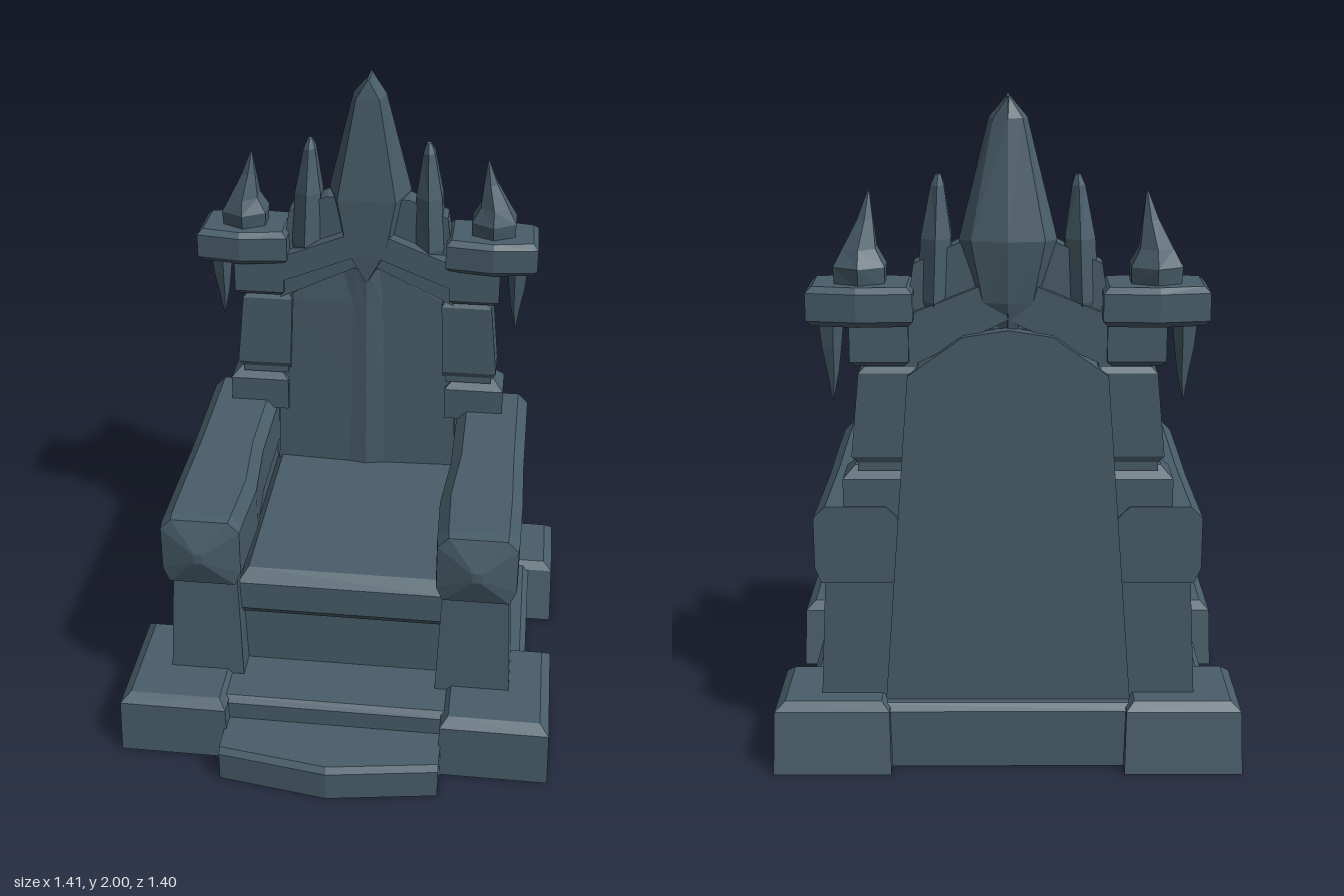
import * as THREE from 'three';

const stone = new THREE.MeshStandardMaterial({ color: 0x485d69 });
stone.name = 'slate stone';
stone.flatShading = true;

// Skin a list of equal-length rings and cap both ends; faces always point outward.
function loft(rings) {
  const tris = [];
  const n = rings[0].length;
  for (let i = 0; i < rings.length - 1; i++) {
    for (let j = 0; j < n; j++) {
      const k = (j + 1) % n;
      const a = rings[i][j], b = rings[i][k], c = rings[i + 1][k], d = rings[i + 1][j];
      tris.push([a, b, c], [a, c, d]);
    }
  }
  const first = rings[0], last = rings[rings.length - 1];
  for (let j = 1; j < n - 1; j++) {
    tris.push([first[0], first[j + 1], first[j]], [last[0], last[j], last[j + 1]]);
  }
  const o = new THREE.Vector3(...first[0]);
  let volume = 0;
  for (const t of tris) {
    const [a, b, c] = t.map((p) => new THREE.Vector3(...p).sub(o));
    volume += a.dot(b.cross(c));
  }
  const pos = [];
  for (const [a, b, c] of tris) pos.push(...a, ...(volume < 0 ? [...c, ...b] : [...b, ...c]));
  const g = new THREE.BufferGeometry();
  g.setAttribute('position', new THREE.Float32BufferAttribute(pos, 3));
  g.computeVertexNormals();
  return g;
}

const rect = (x0, x1, y, z0, z1) => [[x0, y, z0], [x1, y, z0], [x1, y, z1], [x0, y, z1]];

// Stone block with chamfered top (c) and bottom (b); t narrows the top on all sides.
function block(x0, x1, y0, y1, z0, z1, { c = 0.02, b = 0, t = 0 } = {}) {
  const rings = [];
  if (b) rings.push(rect(x0 + b, x1 - b, y0, z0 + b, z1 - b));
  rings.push(rect(x0, x1, y0 + b, z0, z1));
  rings.push(rect(x0 + t, x1 - t, y1 - c, z0 + t, z1 - t));
  if (c) rings.push(rect(x0 + t + c, x1 - t - c, y1, z0 + t + c, z1 - t - c));
  return loft(rings);
}

// Extrude an x/y outline between two depths.
const plate = (outline, z0, z1) => loft([z0, z1].map((z) => outline.map(([x, y]) => [x, y, z])));

// Crystal or flame: rows of [y, centre x, half width, centre z, half depth].
function shard(rows, sides = 6) {
  return loft(rows.map(([y, cx, rx, cz, rz]) =>
    Array.from({ length: sides }, (_, i) => {
      const a = ((i + 0.5) / sides) * Math.PI * 2;
      return [cx + Math.cos(a) * rx * 1.1, y, cz + Math.sin(a) * rz];
    })));
}

export function createModel() {
  const model = new THREE.Group();
  model.name = 'stoneThrone';
  const add = (name, geometry, parent = model) => {
    const m = new THREE.Mesh(geometry, stone);
    m.name = name;
    parent.add(m);
  };
  // Mirror geometry across x while keeping faces outward.
  const mirrored = (g) => {
    const p = g.clone().scale(-1, 1, 1);
    const a = p.attributes.position.array;
    for (let i = 0; i < a.length; i += 9) {
      for (let k = 0; k < 3; k++) [a[i + 3 + k], a[i + 6 + k]] = [a[i + 6 + k], a[i + 3 + k]];
    }
    p.computeVertexNormals();
    return p;
  };
  const pair = (name, g) => {
    add(name + 'Left', g);
    add(name + 'Right', mirrored(g));
  };

  // Plinth, corner stones and pointed front step
  add('plinth', block(-0.615, 0.615, 0, 0.2, -0.645, 0.485, { c: 0.02 }));
  pair('frontCornerStone', loft([
    rect(0.345, 0.705, 0, 0.08, 0.545), rect(0.35, 0.7, 0.19, 0.11, 0.54),
    rect(0.375, 0.67, 0.215, 0.14, 0.505)]));
  pair('backCornerStone', loft([
    rect(0.35, 0.705, 0, -0.7, -0.33), rect(0.355, 0.7, 0.19, -0.67, -0.375),
    rect(0.38, 0.67, 0.215, -0.645, -0.4)]));
  const stepRing = (y, d) => [[-0.355, y, 0.4], [0.355, y, 0.4], [0.355, y, 0.645 - d], [0, y, 0.7 - d], [-0.355, y, 0.645 - d]];
  add('frontStep', loft([stepRing(0, 0), stepRing(0.1, 0), stepRing(0.12, 0.015)]));

  // Seat and the recessed wall beneath it
  add('seatWall', block(-0.34, 0.34, 0.18, 0.45, -0.5, 0.26, { c: 0 }));
  add('seat', loft([
    rect(-0.325, 0.325, 0.405, -0.5, 0.275), rect(-0.34, 0.34, 0.435, -0.5, 0.3),
    rect(-0.34, 0.34, 0.535, -0.5, 0.3), rect(-0.31, 0.31, 0.57, -0.5, 0.255)]));

  // Arm supports: front and back piers with a recessed panel between
  pair('frontPier', loft([rect(0.32, 0.565, 0.2, 0.11, 0.355), rect(0.335, 0.545, 0.59, 0.1, 0.33)]));
  pair('backPier', loft([rect(0.32, 0.565, 0.2, -0.585, -0.39), rect(0.335, 0.545, 0.59, -0.58, -0.38)]));
  pair('sidePanel', loft([rect(0.32, 0.54, 0.2, -0.42, 0.13), rect(0.335, 0.525, 0.59, -0.42, 0.13)]));

  // Armrests with a faceted front boss
  const armRing = (z, inner, outer, top) => [
    [inner + 0.02, 0.573, z], [outer - 0.02, 0.573, z], [outer, 0.62, z], [outer, top - 0.035, z],
    [outer - 0.035, top, z], [inner + 0.035, top, z], [inner, top - 0.035, z], [inner, 0.62, z]];
  const front = armRing(0.365, 0.315, 0.57, 0.81);
  const tip = front.map(([x, y]) => [0.445 + (x - 0.445) * 0.12, 0.69 + (y - 0.69) * 0.15, 0.402]);
  pair('armrest', loft([
    armRing(-0.59, 0.325, 0.575, 0.812), armRing(-0.15, 0.325, 0.572, 0.806),
    armRing(0.1, 0.305, 0.575, 0.805), armRing(0.33, 0.312, 0.572, 0.815), front, tip]));

  // Backrest: ridged front panel and a tapered rear slab
  const panelRing = (y, w, k) => [
    [-w, y, -0.56], [w, y, -0.56], [w, y, -0.465], [0.07 * k, y, -0.455], [0, y, -0.44], [-0.06 * k, y, -0.45], [-w, y, -0.465]];
  add('backPanel', loft([
    panelRing(0.5, 0.325, 1), panelRing(0.9, 0.31, 0.9), panelRing(1.21, 0.29, 0.8), panelRing(1.34, 0.09, 0.6)]));
  add('rearSlab', plate([
    [-0.37, 0.19], [0.37, 0.19], [0.29, 1.21], [0.13, 1.325], [0, 1.345], [-0.13, 1.325], [-0.29, 1.21]], -0.6, -0.5));

  // Stacked stones on each side of the backrest
  pair('lowerStone', block(0.28, 0.485, 0.78, 0.93, -0.585, -0.44, { c: 0.035 }));
  pair('lowerJoint', block(0.28, 0.44, 0.92, 0.965, -0.575, -0.455, { c: 0 }));
  pair('middleStone', loft([
    rect(0.27, 0.44, 0.945, -0.575, -0.45), rect(0.27, 0.457, 0.965, -0.585, -0.44),
    rect(0.26, 0.432, 1.215, -0.585, -0.44), rect(0.27, 0.415, 1.232, -0.575, -0.45)]));
  pair('upperJoint', block(0.26, 0.415, 1.22, 1.25, -0.575, -0.455, { c: 0 }));
  pair('upperStone', block(0.285, 0.455, 1.235, 1.38, -0.59, -0.42, { c: 0.01, b: 0.015 }));

  // Wide caps, each with an angled outline
  const capRing = (y, d) => [
    [0.27 + d, y, -0.625 + d], [0.43, y, -0.635 + d], [0.575 - d, y, -0.61 + d],
    [0.578 - d, y, -0.41 - d], [0.43, y, -0.388 - d], [0.27 + d, y, -0.41 - d]];
  pair('cap', loft([capRing(1.358, 0.015), capRing(1.375, 0), capRing(1.455, 0), capRing(1.472, 0.018)]));

  // Sloping trim over the backrest and the crest behind the crystals
  const beam = (x0, y0, x1, y1, h, z1) => plate([[x0, y0], [x1, y1], [x1, y1 + h], [x0, y0 + h]], -0.575, z1);
  pair('lowerTrim', beam(0.3, 1.225, 0, 1.37, 0.07, -0.435));
  pair('upperTrim', beam(0.3, 1.29, 0, 1.41, 0.09, -0.42));
  add('crest', plate([
    [-0.3, 1.33], [0.3, 1.33], [0.27, 1.53], [0.14, 1.59], [-0.14, 1.59], [-0.27, 1.53]], -0.555, -0.47));

  // Central crystal, ending in a ridge that runs front to back
  const crystal = [
    [1.3, 0.004, -0.43, -0.56], [1.42, 0.095, -0.42, -0.59], [1.6, 0.14, -0.415, -0.612],
    [1.94, 0.055, -0.44, -0.58], [2, 0.004, -0.45, -0.572]];
  add('centralCrystal', loft(crystal.map(([y, w, zf, zb]) => [
    [-0.7 * w, y, zf], [0.7 * w, y, zf], [w, y, zb + 0.06], [w * 0.75, y, zb + 0.015], [0, y, zb],
    [-w * 0.75, y, zb + 0.015], [-w, y, zb + 0.06]])));

  // Smaller crystals, cap flames and hanging spikes
  pair('sideCrystal', shard([
    [1.34, 0.215, 0.03, -0.5, 0.05], [1.42, 0.212, 0.05, -0.505, 0.075], [1.6, 0.205, 0.046, -0.51, 0.072],
    [1.75, 0.2, 0.02, -0.51, 0.04], [1.78, 0.198, 0.008, -0.51, 0.015]]));
  pair('flame', shard([
    [1.46, 0.425, 0.075, -0.515, 0.075], [1.52, 0.425, 0.078, -0.515, 0.088], [1.57, 0.425, 0.05, -0.51, 0.065],
    [1.65, 0.408, 0.024, -0.505, 0.03], [1.73, 0.397, 0.003, -0.5, 0.004]]));
  pair('hangingSpike', shard([
    [1.37, 0.515, 0.036, -0.51, 0.05], [1.28, 0.515, 0.028, -0.51, 0.036],
    [1.2, 0.512, 0.016, -0.51, 0.02], [1.12, 0.514, 0.002, -0.51, 0.003]], 5));

  return model;
}
